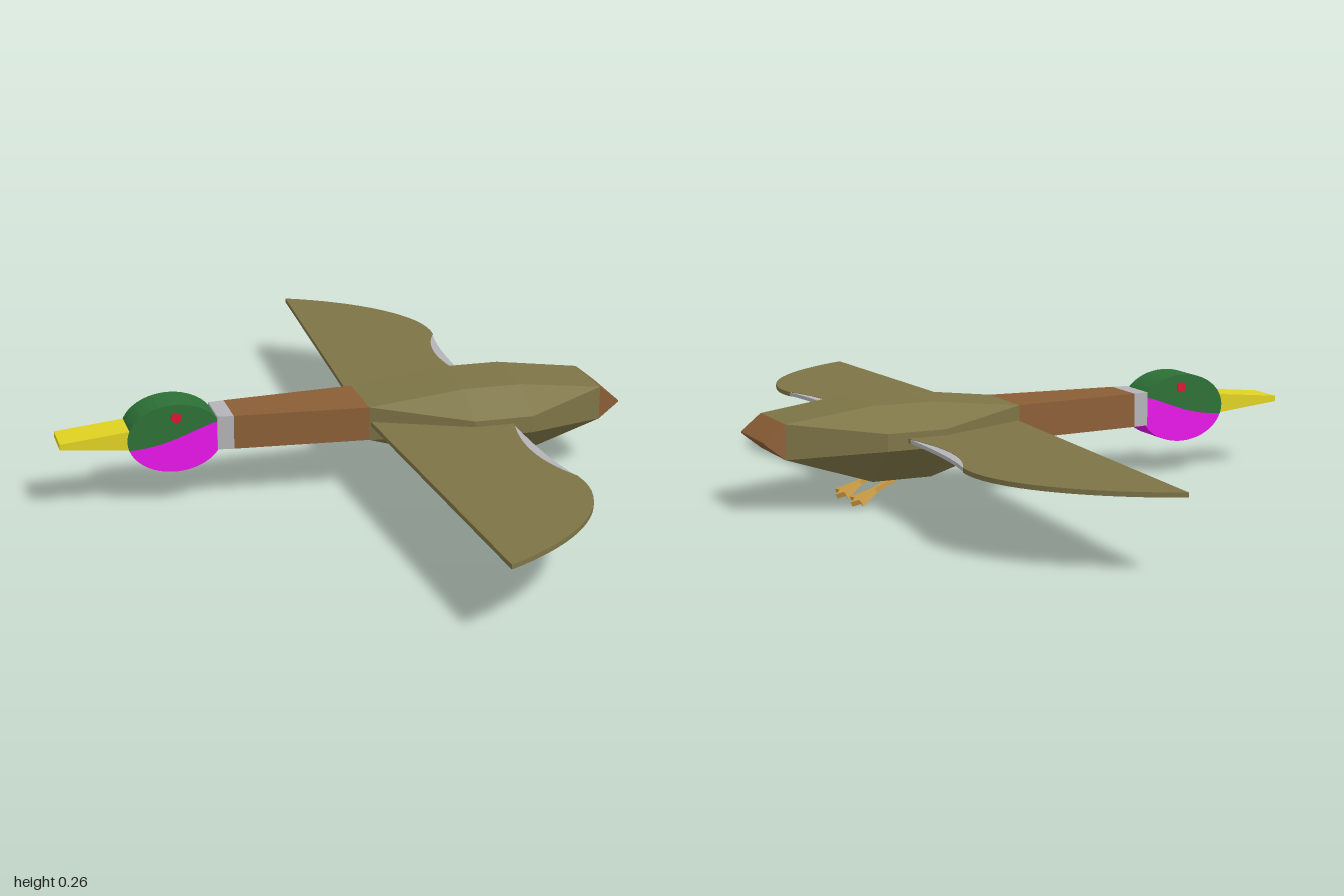
import * as THREE from 'three';

const ZC = -0.004; // centre line of the bird
const mat = (color) => new THREE.MeshStandardMaterial({ color, flatShading: true });

// Skin closed rings [x, [[y, z], ...]] running along +x; keep(i, j) picks the facets.
function loft(rings, keep = () => true, caps = true) {
  const n = rings[0][1].length, pos = [];
  const at = (i, j) => [rings[i][0], ...rings[i][1][j % n]];
  const tri = (a, b, c) => pos.push(...a, ...b, ...c);
  for (let i = 0; i < rings.length - 1; i++)
    for (let j = 0; j < n; j++) {
      if (!keep(i, j)) continue;
      tri(at(i, j), at(i, j + 1), at(i + 1, j + 1));
      tri(at(i, j), at(i + 1, j + 1), at(i + 1, j));
    }
  const last = rings.length - 1;
  if (caps)
    for (let j = 1; j < n - 1; j++) {
      tri(at(0, 0), at(0, j + 1), at(0, j));
      tri(at(last, 0), at(last, j), at(last, j + 1));
    }
  const g = new THREE.BufferGeometry();
  g.setAttribute('position', new THREE.Float32BufferAttribute(pos, 3));
  g.computeVertexNormals();
  return g;
}

// Rectangular ring
const rect = (x, y0, y1, w) => [x, [[y0, -w], [y1, -w], [y1, w], [y0, w]]];
// Eight-cornered ring: flat top and bottom of half width w, sides at half width s
const oct = (x, y0, y1, w, s0, s1, s) => [x, [
  [y0, -w], [s0, -s], [s1, -s], [y1, -w], [y1, w], [s1, s], [s0, s], [y0, w]]];

export function createModel() {
  const model = new THREE.Group();
  const bird = new THREE.Group();
  bird.name = 'bird';
  bird.position.z = ZC;
  model.add(bird);

  const olive = mat(0x7d7446), brown = mat(0x8b5e36), green = mat(0x2c7036);
  const magenta = mat(0xe812e8), yellow = mat(0xe0d222), grey = mat(0xb4b4b8);
  const orange = mat(0xcf9f45), red = mat(0xe01030);
  const add = (name, geo, material, parent = bird) => {
    const m = new THREE.Mesh(geo, material);
    m.name = name;
    parent.add(m);
    return m;
  };

  // Faceted body; the rear underside facet is its own colour
  const rings = [
    oct(0.05, 0.135, 0.22, 0.086, 0.135, 0.22, 0.086),
    oct(0.29, 0.065, 0.248, 0.092, 0.155, 0.197, 0.19),
    oct(0.44, 0.065, 0.248, 0.092, 0.155, 0.197, 0.19),
    oct(0.655, 0.135, 0.22, 0.086, 0.135, 0.22, 0.086),
  ];
  const under = (i, j) => i === 2 && j === 7;
  add('body', loft(rings, (i, j) => !under(i, j)), olive);
  add('rearUnderside', loft(rings, under, false), magenta);

  // Tail wedge, neck, collar and bill
  add('tail', loft([rect(0.655, 0.135, 0.22, 0.086), rect(0.706, 0.176, 0.179, 0.086)]), brown);
  add('neck', loft([rect(-0.285, 0.135, 0.22, 0.06), rect(0.05, 0.135, 0.22, 0.086)]), brown);
  add('collar', loft([rect(-0.325, 0.135, 0.22, 0.055), rect(-0.285, 0.135, 0.22, 0.06)]), grey);
  add('bill', loft([rect(-0.71, 0.168, 0.182, 0.049), rect(-0.53, 0.15, 0.2, 0.049)]), yellow);

  // Head: an oval slab divided by an S-curve
  const cx = -0.428, cy = 0.172, rx = 0.118, ry = 0.086, a0 = 0.42, a1 = Math.PI + 0.26;
  const onOval = (a) => [cx + rx * Math.cos(a), cy + ry * Math.sin(a)];
  const L = onOval(a1), R = onOval(a0);
  const c1 = [-0.44, 0.152], c2 = [-0.39, 0.19];
  const crown = new THREE.Shape();
  crown.moveTo(...L);
  crown.bezierCurveTo(...c1, ...c2, ...R);
  crown.absellipse(cx, cy, rx, ry, a0, a1, false);
  const throat = new THREE.Shape();
  throat.moveTo(...R);
  throat.bezierCurveTo(...c2, ...c1, ...L);
  throat.absellipse(cx, cy, rx, ry, a1, a0 + Math.PI * 2, false);
  const slab = (shape, depth) =>
    new THREE.ExtrudeGeometry(shape, { depth, bevelEnabled: false, curveSegments: 16 });
  add('headCrown', slab(crown, 0.1).translate(0, 0, -0.05), green);
  add('headThroat', slab(throat, 0.1).translate(0, 0, -0.05), magenta);

  // Webbed foot outline: thin leg, then three toes
  const foot = new THREE.Shape([
    [0, -0.009], [0.085, -0.006], [0.138, -0.037], [0.134, -0.014], [0.152, 0],
    [0.134, 0.014], [0.138, 0.037], [0.085, 0.006], [0, 0.009],
  ].map(([x, y]) => new THREE.Vector2(x, y)));

  for (const s of [1, -1]) {
    const side = s > 0 ? 'front' : 'back';

    // Eye
    const eye = add(side + 'Eye', new THREE.CylinderGeometry(0.013, 0.013, 0.006, 12), red);
    eye.rotation.x = Math.PI / 2;
    eye.position.set(-0.426, 0.225, s * 0.05);

    // Wing: straight leading edge, swept and scalloped trailing edge
    const tip = 1 - s * ZC;
    const wing = new THREE.Shape();
    wing.moveTo(0.052, s * 0.05);
    wing.lineTo(0.1, s * tip);
    wing.bezierCurveTo(0.29, s * 0.91, 0.44, s * 0.74, 0.415, s * 0.56);
    wing.bezierCurveTo(0.36, s * 0.45, 0.355, s * 0.34, 0.388, s * 0.2);
    wing.lineTo(0.388, s * 0.05);
    const flat = (shape, t) => slab(shape, t).rotateX(Math.PI / 2).translate(0, 0.177 + t / 2, 0);
    add(side + 'Wing', flat(wing, 0.011), olive);

    // Pale feather patch filling the scallop
    const patch = new THREE.Shape();
    patch.moveTo(0.414, s * 0.56);
    patch.bezierCurveTo(0.36, s * 0.45, 0.355, s * 0.34, 0.388, s * 0.2);
    patch.bezierCurveTo(0.388, s * 0.34, 0.39, s * 0.45, 0.414, s * 0.56);
    add(side + 'WingPatch', flat(patch, 0.009), grey);

    // Trailing leg and foot
    const leg = add(side + 'Leg', slab(foot, 0.012).rotateX(Math.PI / 2), orange);
    leg.position.set(0.345, 0.078, s * 0.05);
    leg.rotation.z = -0.46;
  }
  return model;
}
